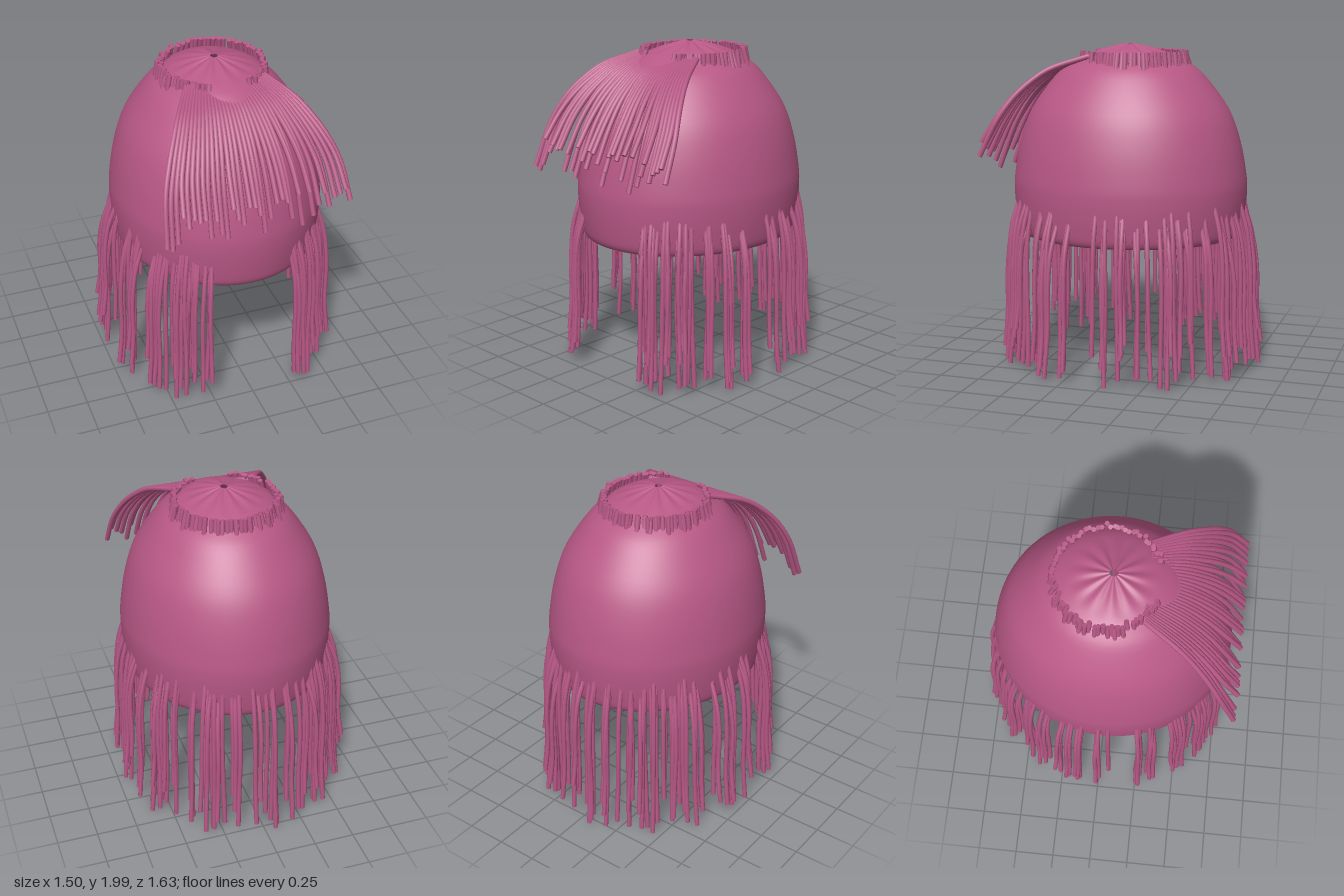
import * as THREE from 'three';
import { mergeGeometries, mergeVertices } from 'three/addons/utils/BufferGeometryUtils.js';

const V = (x, y, z) => new THREE.Vector3(x, y, z);
const RX = 0.643, RZ = 0.733, CZ = 0.03; // cap half-widths and centre

// small seeded generator
function seeded(seed) {
  return () => {
    seed = (seed * 1664525 + 1013904223) % 4294967296;
    return seed / 4294967296;
  };
}

// one lock of hair: a tube through points, closed with a disc at each end
function strand(points, radius, segments = 14, sides = 7) {
  const curve = new THREE.CatmullRomCurve3(points);
  const parts = [new THREE.TubeGeometry(curve, segments, radius, sides)];
  for (const [t, sign] of [[0, -1], [1, 1]]) {
    const disc = new THREE.CircleGeometry(radius, sides);
    const dir = curve.getTangent(t).multiplyScalar(sign);
    disc.applyQuaternion(new THREE.Quaternion().setFromUnitVectors(V(0, 0, 1), dir));
    const p = curve.getPoint(t);
    disc.translate(p.x, p.y, p.z);
    parts.push(disc);
  }
  return mergeGeometries(parts);
}

// open dome with a tiny crown hole, pleats around the crown and a rim curling in
function capGeometry() {
  const profile = [
    [0.9, 0.825], [0.935, 0.83], [0.96, 0.855], [0.975, 0.9], [0.992, 1.0], [1, 1.1], [0.992, 1.2],
    [0.94, 1.4], [0.838, 1.6], [0.635, 1.8], [0.5, 1.88], [0.4, 1.92], [0.25, 1.96], [0.12, 1.985], [0.033, 1.997],
  ].map(([r, y]) => new THREE.Vector2(r, y));
  let geo = new THREE.LatheGeometry(new THREE.SplineCurve(profile).getPoints(56), 96);
  geo.scale(RX, 1, RZ);
  geo.translate(0, 0, CZ);
  const pos = geo.attributes.position;
  for (let i = 0; i < pos.count; i++) {
    const x = pos.getX(i), z = pos.getZ(i) - CZ, r = Math.hypot(x, z);
    const pleat = 0.005 * Math.sin(Math.PI * Math.min(r / 0.26, 1));
    if (pos.getY(i) > 1.85) pos.setY(i, pos.getY(i) + pleat * (Math.cos(12 * Math.atan2(x, z)) - 1));
  }
  geo.deleteAttribute('uv');
  geo.deleteAttribute('normal');
  geo = mergeVertices(geo, 1e-5);
  geo.computeVertexNormals();
  return geo;
}

// ring of short root stubs around the crown, leaning in at the top, open at the front
function rootGeometry(rand) {
  const parts = [];
  const count = 72;
  for (let i = 0; i < count; i++) {
    const a = THREE.MathUtils.degToRad(22 + 316 * (i + 0.8 * rand()) / count);
    const stub = new THREE.CylinderGeometry(0.015, 0.015, 0.12, 7);
    stub.rotateX(-0.1 - 0.25 * rand());
    stub.translate(0, 1.893, 0.308 + 0.025 * rand());
    stub.rotateY(a);
    parts.push(stub);
  }
  return mergeGeometries(parts);
}

// fringe fanning out from the crown and drooping over the forehead
function fringeGeometry(rand) {
  const parts = [];
  const count = 35;
  for (let i = 0; i < count; i++) {
    const t = -1 + 2 * i / (count - 1);
    const end = 1.23 + 0.22 * rand();
    const drop = 1.45 - end;
    parts.push(strand([
      V(0.24 * t, 1.924, 0.22),
      V(0.357 * t, 1.853, 0.42),
      V(0.41 * t, 1.795 - drop * 0.05, 0.51),
      V(0.47 * t, 1.71 - drop * 0.15, 0.605),
      V(0.525 * t, 1.6 - drop * 0.4, 0.695),
      V(0.555 * t, end, 0.8),
    ], 0.0155, 18));
  }
  return mergeGeometries(parts);
}

// long locks hanging in loose tufts around the sides and back, open at the face
function longHairGeometry(rand) {
  const parts = [];
  const tufts = [26, 31, 36, 42, 48, 55, 66, 75, 90, 103, 110, 121, 129, 136, 143, 150, 157, 165, 176];
  for (const side of [-1, 1]) for (const deg of tufts) {
    const centre = deg + 3 * (rand() - 0.5);
    for (let k = 0; k < 4; k++) {
      const spread = deg < 40 ? 4 : 6;
      const a = side * THREE.MathUtils.degToRad(centre + spread * (rand() - 0.5));
      const s = Math.sin(a), c = Math.cos(a);
      const flare = (0.025 + 0.08 * rand()) * (c > 0.5 ? 0.7 : c < -0.5 ? 0.85 : 1);
      const top = 0.93 + 0.17 * rand();
      const end = 0.012 + 0.28 * rand() ** 1.3;
      const sway = 0.035 * (rand() - 0.5), bend = 0.02 * (rand() - 0.5);
      const at = (out, y, w) => V(s * (RX + out) + c * w, y, CZ + c * (RZ + out) - s * w);
      const mid = (f) => THREE.MathUtils.lerp(top, end, f);
      parts.push(strand([
        at(-0.025, top, 0),
        at(flare * 0.45, mid(0.2), sway * 0.2 + bend * 0.4),
        at(flare * 0.8, mid(0.45), sway * 0.45 + bend),
        at(flare * 0.85, mid(0.75), sway * 0.75 + bend * 0.5),
        at(flare * 1.15, end, sway),
      ], 0.0145));
    }
  }
  return mergeGeometries(parts);
}

export function createModel() {
  const rand = seeded(7);
  const group = new THREE.Group();
  group.name = 'wig';
  const material = new THREE.MeshStandardMaterial({ color: 0xb85886, side: THREE.DoubleSide });
  const add = (name, geometry) => {
    const mesh = new THREE.Mesh(geometry, material);
    mesh.name = name;
    group.add(mesh);
  };
  add('cap', capGeometry());
  add('crownRoots', rootGeometry(rand));
  add('fringe', fringeGeometry(rand));
  add('longHair', longHairGeometry(rand));
  return group;
}
